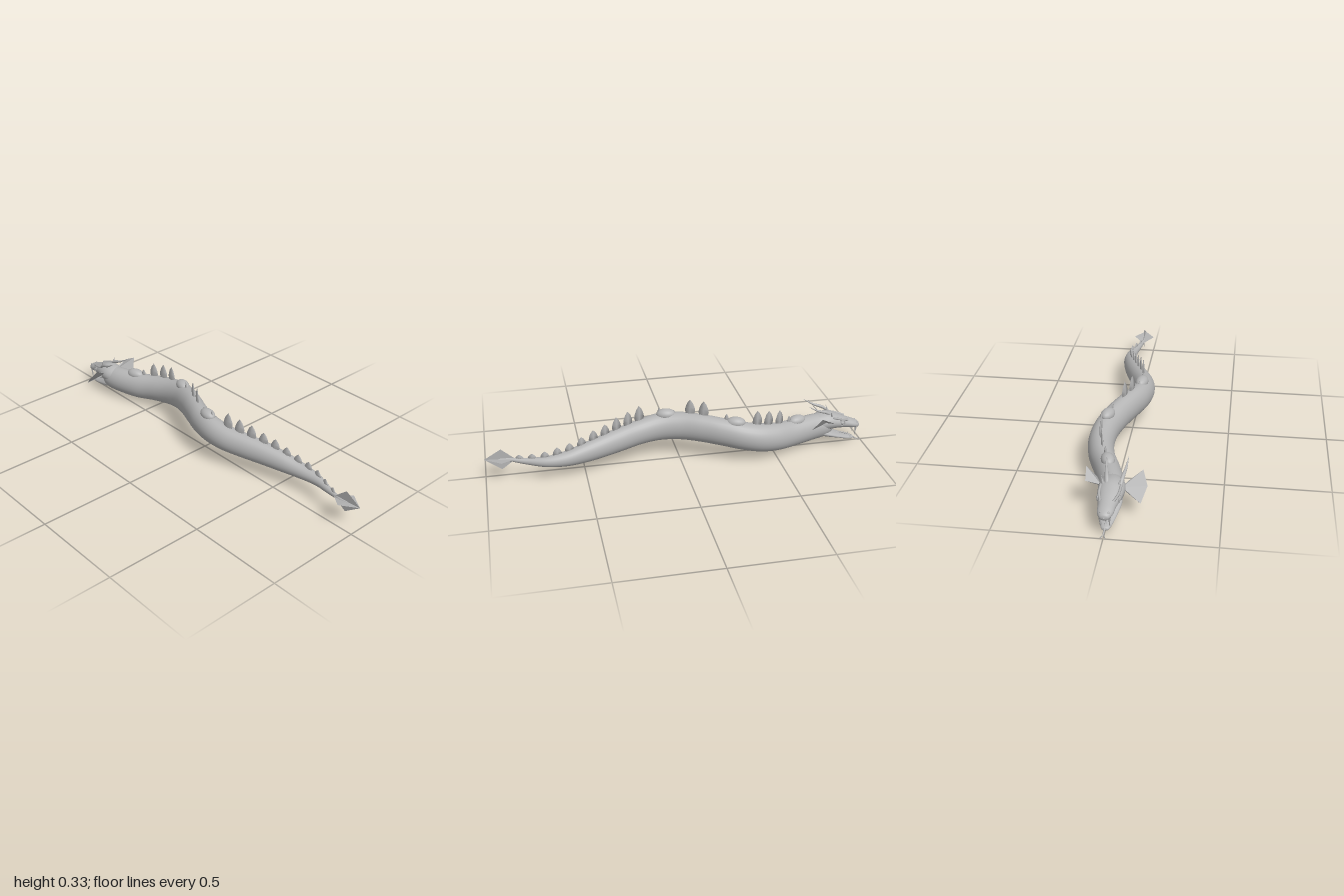
import * as THREE from 'three';

const hide = new THREE.MeshStandardMaterial({ color: 0xb4b4b4, side: THREE.DoubleSide });
hide.name = 'grey hide';

// Cross-sections run from -z to +z: [z, x, y, radiusX, radiusY]
const curvesOf = (s) => [
  new THREE.CatmullRomCurve3(s.map(([z, x, y]) => new THREE.Vector3(x, y, z)), false, 'catmullrom', 0.5),
  new THREE.CatmullRomCurve3(s.map(([z, , , rx, ry]) => new THREE.Vector3(rx, ry, z)), false, 'catmullrom', 0.5),
];

function loft(sections, rings, sides) {
  const [path, radii] = curvesOf(sections);
  const pos = [], idx = [];
  for (let i = 0; i <= rings; i++) {
    const c = path.getPoint(i / rings), r = radii.getPoint(i / rings);
    for (let j = 0; j < sides; j++) {
      const a = (j / sides) * Math.PI * 2;
      pos.push(c.x + Math.max(r.x, 0) * Math.cos(a), c.y + Math.max(r.y, 0) * Math.sin(a), c.z);
      if (i === rings) continue;
      const p = i * sides + j, q = i * sides + (j + 1) % sides;
      idx.push(p, q, p + sides, q, q + sides, p + sides);
    }
  }
  const g = new THREE.BufferGeometry();
  g.setAttribute('position', new THREE.Float32BufferAttribute(pos, 3));
  g.setIndex(idx);
  g.computeVertexNormals();
  return g;
}

// Thin membrane fanned out from its first point
function fan(points) {
  const pos = [];
  for (let i = 1; i < points.length - 1; i++) pos.push(...points[0], ...points[i], ...points[i + 1]);
  const g = new THREE.BufferGeometry();
  g.setAttribute('position', new THREE.Float32BufferAttribute(pos, 3));
  g.computeVertexNormals();
  return g;
}

const BODY = [
  [-0.83, -0.008, 0.10, 0.03, 0.03],
  [-0.79, -0.008, 0.106, 0.055, 0.062],
  [-0.72, 0.004, 0.106, 0.062, 0.07],
  [-0.6, 0.042, 0.104, 0.064, 0.073],
  [-0.5, 0.082, 0.113, 0.064, 0.075],
  [-0.4, 0.101, 0.127, 0.064, 0.076],
  [-0.3, 0.093, 0.146, 0.063, 0.076],
  [-0.2, 0.06, 0.163, 0.063, 0.076],
  [-0.1, 0.016, 0.173, 0.062, 0.076],
  [0, -0.025, 0.175, 0.06, 0.075],
  [0.1, -0.043, 0.17, 0.058, 0.073],
  [0.2, -0.032, 0.158, 0.058, 0.068],
  [0.3, 0.001, 0.146, 0.056, 0.065],
  [0.4, 0.036, 0.134, 0.052, 0.06],
  [0.5, 0.066, 0.121, 0.046, 0.052],
  [0.6, 0.088, 0.109, 0.038, 0.039],
  [0.7, 0.092, 0.105, 0.027, 0.027],
  [0.8, 0.068, 0.107, 0.016, 0.016],
  [0.88, 0.047, 0.114, 0.008, 0.008],
  [0.93, 0.046, 0.12, 0.003, 0.003],
];

export function createModel() {
  const model = new THREE.Group();
  const add = (name, geometry, x = 0, y = 0, z = 0) => {
    const mesh = new THREE.Mesh(geometry, hide);
    mesh.name = name;
    mesh.position.set(x, y, z);
    model.add(mesh);
    return mesh;
  };

  // Body
  add('body', loft(BODY, 120, 28));
  const [path, radii] = curvesOf(BODY);
  const backAt = (z) => {
    let lo = 0, hi = 1;
    for (let i = 0; i < 24; i++) {
      const mid = (lo + hi) / 2;
      if (path.getPoint(mid).z < z) lo = mid; else hi = mid;
    }
    const c = path.getPoint(lo), t = path.getTangent(lo);
    return { x: c.x, top: c.y + radii.getPoint(lo).y, yaw: Math.atan2(t.x, t.z) };
  };

  // Back spines: [z, tip height, length along the back]
  const leaf = new THREE.LatheGeometry(
    [[0.7, 0], [1, 0.3], [0.9, 0.5], [0.55, 0.78], [0, 1]].map(([x, y]) => new THREE.Vector2(x, y)), 4);
  const spines = [
    [0.1, 0.28, 0.012], [0.025, 0.265, 0.012], [-0.055, 0.328, 0.046], [-0.12, 0.325, 0.046],
    [-0.23, 0.265, 0.016], [-0.28, 0.24, 0.014], [-0.31, 0.243, 0.012], [-0.385, 0.282, 0.044],
    [-0.447, 0.273, 0.044], [-0.51, 0.262, 0.042], [-0.57, 0.212, 0.016], [-0.635, 0.2, 0.014],
  ];
  const tips = [0.142, 0.15, 0.163, 0.179, 0.193, 0.212, 0.236, 0.252, 0.275, 0.29, 0.306];
  tips.forEach((tip, i) => spines.push([0.826 - i * 0.062, tip, 0.046 - (10 - i) * 0.001]));
  for (const [z, tip, length] of spines) {
    const b = backAt(z), base = b.top - 0.012;
    const spine = add('backSpine', leaf, b.x, base, z);
    spine.scale.set(0.006, tip - base, length / 2 + 0.004);
    spine.rotation.y = b.yaw;
  }

  // Rounded humps along the back
  for (const z of [-0.62, -0.275, 0.065]) {
    const b = backAt(z);
    const hump = add('backHump', new THREE.SphereGeometry(1, 20, 14), b.x, b.top - 0.006, z);
    hump.scale.set(0.032, 0.029, 0.05);
    hump.rotation.y = b.yaw;
  }

  // Crossed tail fins
  add('tailFinFlat', fan([[0.046, 0.12, 0.92], [0.046, 0.112, 0.845], [0.104, 0.125, 0.915],
    [0.048, 0.125, 1], [-0.01, 0.125, 0.915], [0.046, 0.112, 0.845]]));
  add('tailFinUpright', fan([[0.047, 0.12, 0.92], [0.046, 0.112, 0.845], [0.048, 0.175, 0.915],
    [0.048, 0.125, 1], [0.048, 0.062, 0.915], [0.046, 0.112, 0.845]]));

  // Skull with upper jaw
  add('skull', loft([
    [-0.985, -0.002, 0.096, 0.002, 0.002],
    [-0.978, -0.002, 0.097, 0.022, 0.015],
    [-0.95, -0.003, 0.104, 0.036, 0.023],
    [-0.91, -0.005, 0.114, 0.041, 0.029],
    [-0.86, -0.008, 0.126, 0.054, 0.038],
    [-0.81, -0.01, 0.132, 0.061, 0.049],
    [-0.76, -0.008, 0.128, 0.058, 0.05],
    [-0.7, 0.008, 0.12, 0.04, 0.04],
  ], 36, 24));

  // Lower jaw, open
  add('lowerJaw', loft([
    [-0.957, -0.002, 0.02, 0.002, 0.002],
    [-0.95, -0.002, 0.021, 0.018, 0.009],
    [-0.91, -0.003, 0.03, 0.031, 0.012],
    [-0.86, -0.005, 0.046, 0.042, 0.014],
    [-0.81, -0.007, 0.062, 0.05, 0.02],
    [-0.76, -0.006, 0.078, 0.05, 0.025],
  ], 24, 20));

  // Forked tongue
  const tube = (points, r) => new THREE.TubeGeometry(
    new THREE.CatmullRomCurve3(points.map((p) => new THREE.Vector3(...p))), 10, r, 6);
  add('tongue', tube([[-0.004, 0.06, -0.84], [-0.003, 0.046, -0.91], [0, 0.022, -0.955], [0.002, 0.007, -0.975]], 0.004));
  for (const s of [-1, 1])
    add('tongueFork', tube([[0.002, 0.008, -0.973], [0.002 + s * 0.005, 0.004, -0.985], [0.002 + s * 0.011, 0.003, -0.998]], 0.002));

  // Paired features of the head
  for (const s of [-1, 1]) {
    add('eye', new THREE.SphereGeometry(0.013, 14, 10), -0.007 + s * 0.042, 0.13, -0.875);
    add('eyeRim', new THREE.TorusGeometry(0.014, 0.003, 6, 18), -0.007 + s * 0.048, 0.13, -0.875).rotation.y = Math.PI / 2;
    add('nostril', new THREE.SphereGeometry(0.005, 8, 6), -0.002 + s * 0.018, 0.115, -0.966);
    add('brow', tube([[-0.005 + s * 0.03, 0.138, -0.91], [-0.007 + s * 0.043, 0.15, -0.87], [-0.01 + s * 0.045, 0.163, -0.82]], 0.006));
    const fang = add('fang', new THREE.ConeGeometry(0.006, 0.052, 8), -0.002 + s * 0.021, 0.063, -0.96);
    fang.rotation.x = Math.PI - 0.1;
    const tooth = add('lowerTooth', new THREE.ConeGeometry(0.004, 0.022, 8), -0.002 + s * 0.018, 0.037, -0.937);
    tooth.rotation.x = -0.1;
    const hx = -0.022 + s * 0.03;
    add('horn', loft([
      [-0.825, hx, 0.165, 0.009, 0.009],
      [-0.79, hx + s * 0.006, 0.188, 0.009, 0.009],
      [-0.74, hx + s * 0.014, 0.206, 0.006, 0.006],
      [-0.69, hx + s * 0.02, 0.235, 0.001, 0.001],
    ], 14, 10));
    const stub = add('smallHorn', new THREE.ConeGeometry(0.006, 0.04, 8), -0.01 + s * 0.04, 0.185, -0.815);
    stub.rotation.set(0.3, 0, -s * 0.25);
  }

  // Ear fins, with the head turned a little
  add('rightEarFin', fan([[-0.055, 0.135, -0.79], [-0.08, 0.16, -0.775], [-0.143, 0.2, -0.735],
    [-0.167, 0.145, -0.78], [-0.143, 0.088, -0.84], [-0.075, 0.118, -0.8]]));
  add('leftEarFin', fan([[0.035, 0.135, -0.79], [0.05, 0.15, -0.8], [0.108, 0.165, -0.805],
    [0.114, 0.2, -0.735], [0.06, 0.1, -0.685], [0.045, 0.118, -0.77]]));

  return model;
}
